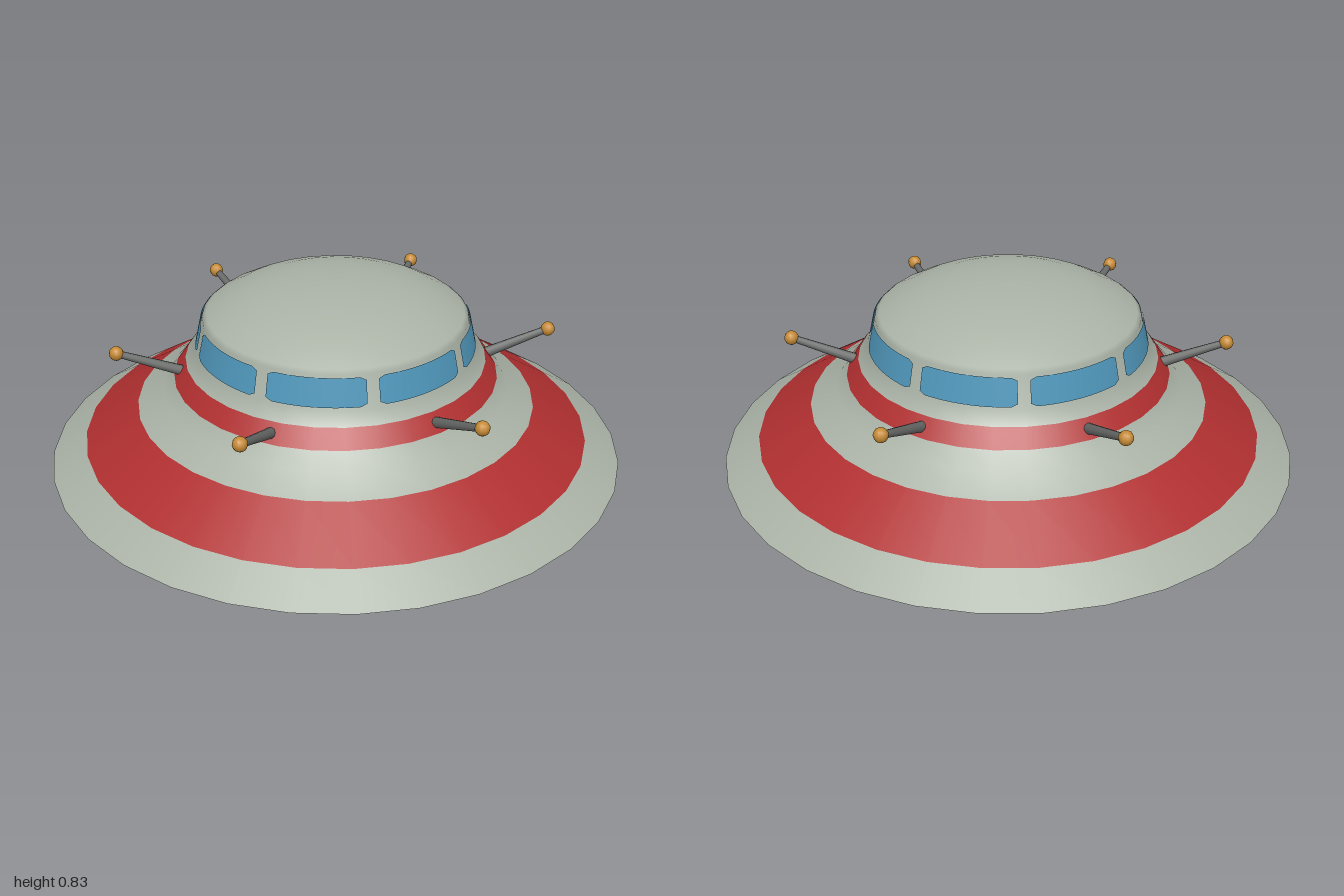
import * as THREE from 'three';
import { toCreasedNormals } from 'three/addons/utils/BufferGeometryUtils.js';

const mat = (name, color, extra = {}) => {
  const m = new THREE.MeshStandardMaterial({ color, ...extra });
  m.name = name;
  return m;
};

const SIDES = 32;
const FLOOR_Y = 0.065; // depth of the channels cut into the underside

// Point on a circle around the y axis; angle 0 is the front
const polar = (angle, r, y) => new THREE.Vector3(r * Math.sin(angle), y, r * Math.cos(angle));

// Lathe whose faces are grouped band by band, so normals stay smooth across colours
function bandedLathe(points, bandMaterials) {
  const geo = new THREE.LatheGeometry(points.map(([r, y]) => new THREE.Vector2(r, y)), SIDES);
  const n = points.length;
  const index = [];
  for (let j = 0; j < n - 1; j++) {
    geo.addGroup(index.length, SIDES * 6, bandMaterials[j]);
    for (let i = 0; i < SIDES; i++) {
      const a = i * n + j, b = a + n, c = b + 1, d = a + 1;
      index.push(a, b, d, c, d, b);
    }
  }
  geo.setIndex(index);
  return geo;
}

function quadGeometry(quads) {
  const pts = [];
  for (const [a, b, c, d] of quads) pts.push(a, b, d, c, d, b);
  return toCreasedNormals(new THREE.BufferGeometry().setFromPoints(pts), 0.4);
}

// Curved window pane with clipped corners, following the sloping cabin wall
function windowGeometry() {
  const half = THREE.MathUtils.degToRad(20);
  const geo = new THREE.PlaneGeometry(2, 2, 16, 1);
  const pos = geo.attributes.position;
  for (let i = 0; i < pos.count; i++) {
    const u = pos.getX(i);
    const h = 0.048 - (Math.abs(u) > 0.95 ? 0.01 : 0);
    const y = 0.659 + pos.getY(i) * h;
    const r = 0.48 - (y - 0.6) * 0.217 + 0.004;
    const p = polar(u * half, r, y);
    pos.setXYZ(i, p.x, p.y, p.z);
  }
  geo.computeVertexNormals();
  return geo;
}

export function createModel() {
  const hullGrey = mat('hullGrey', 0xaab2a6);
  const red = mat('stripeRed', 0xb02f30);
  const blue = mat('windowBlue', 0x5097bb, { side: THREE.DoubleSide });
  const dark = mat('darkGrey', 0x646664);
  const amber = mat('amber', 0xc58a34);

  const model = new THREE.Group();
  const add = (name, geo, material, parent = model) => {
    const mesh = new THREE.Mesh(geo, material);
    mesh.name = name;
    parent.add(mesh);
    return mesh;
  };

  // Upper hull with two red stripes, cabin wall and dome
  add('upperHull', bandedLathe(
    [[1, 0.197], [0.878, 0.275], [0.69, 0.395], [0.6, 0.452], [0.56, 0.5], [0.518, 0.56], [0.48, 0.6],
      [0.455, 0.715], [0.44, 0.727], [0.37, 0.765], [0.29, 0.794], [0.2, 0.815], [0.1, 0.827], [0, 0.83]],
    [0, 1, 0, 0, 1, 0, 0, 0, 0, 0, 0, 0, 0]), [hullGrey, red]);

  // Lower hull down to the level of the channel floor
  add('lowerHull', bandedLathe([[0.73, FLOOR_Y], [0.855, 0.125], [1, 0.197]], [0, 1]), [dark, hullGrey]);

  // Cabin windows
  const pane = windowGeometry();
  for (let k = 0; k < 8; k++) add('window', pane, blue).rotation.y = k * Math.PI / 4;

  // Red channel floor and dark hub plate
  add('channelFloor', new THREE.CircleGeometry(0.73, SIDES).rotateX(Math.PI / 2), red).position.y = FLOOR_Y;
  add('hubPlate', new THREE.CylinderGeometry(0.176, 0.176, 0.006, SIDES), dark).position.y = FLOOR_Y - 0.002;

  // Eight raised underside sectors separated by flaring channels
  const section = [[0.316, FLOOR_Y], [0.316, 0], [0.6, 0], [0.73, FLOOR_Y]];
  const gap = (r) => Math.asin((0.09 + 0.065 * (r - 0.316) / 0.414) / (2 * r));
  const STEPS = 4, PITCH = Math.PI / 4;
  const at = (j, t) => {
    const [r, y] = section[j];
    return polar(THREE.MathUtils.lerp(gap(r), PITCH - gap(r), t), r, y);
  };
  const skin = [], walls = [];
  for (let j = 0; j < 3; j++) {
    for (let i = 0; i < STEPS; i++) {
      const t0 = i / STEPS, t1 = (i + 1) / STEPS;
      (j === 0 ? walls : skin).push([at(j, t0), at(j, t1), at(j + 1, t1), at(j + 1, t0)]);
    }
  }
  walls.push([0, 1, 2, 3].map((j) => at(j, 0)), [3, 2, 1, 0].map((j) => at(j, 1)));
  const skinGeo = quadGeometry(skin), wallGeo = quadGeometry(walls);
  for (let k = 0; k < 8; k++) {
    const sector = new THREE.Group();
    sector.name = 'undersideSector';
    sector.rotation.y = THREE.MathUtils.degToRad(-16.5) + k * PITCH;
    add('sectorSkin', skinGeo, dark, sector);
    add('channelWalls', wallGeo, hullGrey, sector);
    model.add(sector);
  }

  // Six antennas with amber tips
  const base = new THREE.Vector3(0, 0.522, 0.52), tip = new THREE.Vector3(0, 0.605, 0.75);
  const along = tip.clone().sub(base);
  const rodGeo = new THREE.CylinderGeometry(0.012, 0.019, along.length(), 10);
  const ballGeo = new THREE.SphereGeometry(0.025, 10, 8);
  for (let k = 0; k < 6; k++) {
    const antenna = new THREE.Group();
    antenna.name = 'antenna';
    antenna.rotation.y = k * Math.PI / 3;
    const rod = add('antennaRod', rodGeo, dark, antenna);
    rod.position.copy(base).lerp(tip, 0.5);
    rod.quaternion.setFromUnitVectors(new THREE.Vector3(0, 1, 0), along.clone().normalize());
    add('antennaTip', ballGeo, amber, antenna).position.copy(tip);
    model.add(antenna);
  }
  return model;
}
